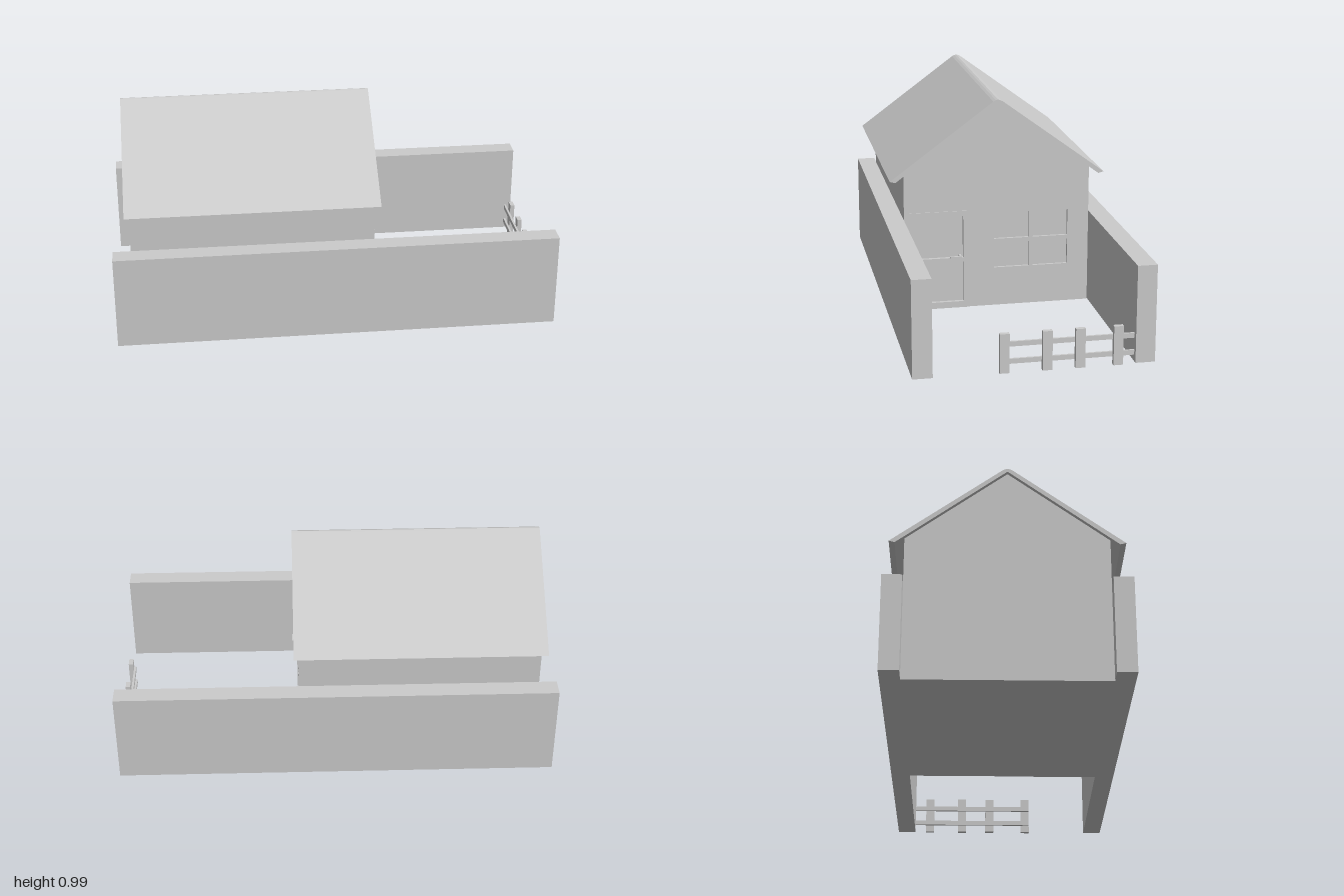
import * as THREE from 'three';

const material = new THREE.MeshStandardMaterial({ color: 0xcccccc, flatShading: true });

function add(parent, name, geometry) {
  const mesh = new THREE.Mesh(geometry, material);
  mesh.name = name;
  parent.add(mesh);
  return mesh;
}

// Box given by its limits on each axis
function box(parent, name, [x0, x1], [y0, y1], [z0, z1]) {
  const mesh = add(parent, name, new THREE.BoxGeometry(x1 - x0, y1 - y0, z1 - z0));
  mesh.position.set((x0 + x1) / 2, (y0 + y1) / 2, (z0 + z1) / 2);
  return mesh;
}

// Outline from [z, y] points
const outline = (points, Type = THREE.Shape) =>
  new Type(points.map(([z, y]) => new THREE.Vector2(-z, y)));

const rect = ([z0, z1], [y0, y1]) => [[z0, y0], [z0, y1], [z1, y1], [z1, y0]];

// Extrude a z-y outline along x, with optional rectangular holes
function extrudeX(parent, name, points, x0, x1, holes = []) {
  const shape = outline(points);
  shape.holes = holes.map((h) => outline(h, THREE.Path));
  const geometry = new THREE.ExtrudeGeometry(shape, { depth: x1 - x0, bevelEnabled: false });
  geometry.rotateY(Math.PI / 2).translate(x0, 0, 0);
  return add(parent, name, geometry);
}

export function createModel() {
  const model = new THREE.Group();
  model.name = 'houseWithYard';

  // House body with a gable at each end
  const house = new THREE.Group();
  house.name = 'house';
  model.add(house);
  const gable = [[-0.435, 0], [0.435, 0], [0.435, 0.655], [0, 0.976], [-0.435, 0.655]];
  extrudeX(house, 'houseBody', gable, -0.92, 0.157);

  // Entrance wall with recessed window panes and door panels
  const panes = [];
  for (const z of [[-0.335, -0.17], [-0.15, 0.015]]) {
    for (const y of [[0.185, 0.305], [0.325, 0.45]]) panes.push(rect(z, y));
  }
  const panels = [[0.03, 0.225], [0.245, 0.445]].map((y) => rect([0.16, 0.395], y));
  extrudeX(house, 'entranceWall', gable, 0.157, 0.17, [...panes, ...panels]);
  extrudeX(house, 'door', rect([0.145, 0.41], [0, 0.47]), 0.17, 0.174, panels);

  // Door handle: stem and lever
  box(house, 'handleStem', [0.157, 0.188], [0.248, 0.257], [0.17, 0.18]);
  box(house, 'handleLever', [0.186, 0.197], [0.248, 0.257], [0.17, 0.225]);

  // Thin folded roof with a rounded ridge
  const side = [[0.01, 0.988], [0.022, 0.982], [0.5, 0.63], [0.475, 0.623]];
  const mirrored = side.map(([z, y]) => [-z, y]).reverse();
  extrudeX(house, 'roof', [[0, 0.991], ...side, [0, 0.976], ...mirrored], -0.94, 0.19);

  // Long boundary walls
  box(model, 'leftBoundaryWall', [-1, 1], [0.004, 0.438], [0.435, 0.521]);
  box(model, 'rightBoundaryWall', [-1, 1], [0.004, 0.438], [-0.521, -0.435]);

  // Fence across half of the open end
  const fence = new THREE.Group();
  fence.name = 'fence';
  model.add(fence);
  for (const z of [0.131, -0.053, -0.195, -0.36]) {
    box(fence, 'fencePost', [0.978, 0.999], [0, 0.175], [z - 0.021, z + 0.021]);
  }
  for (const y of [0.044, 0.121]) {
    box(fence, 'fenceRail', [0.968, 0.978], [y - 0.011, y + 0.011], [-0.437, 0.15]);
  }

  return model;
}
